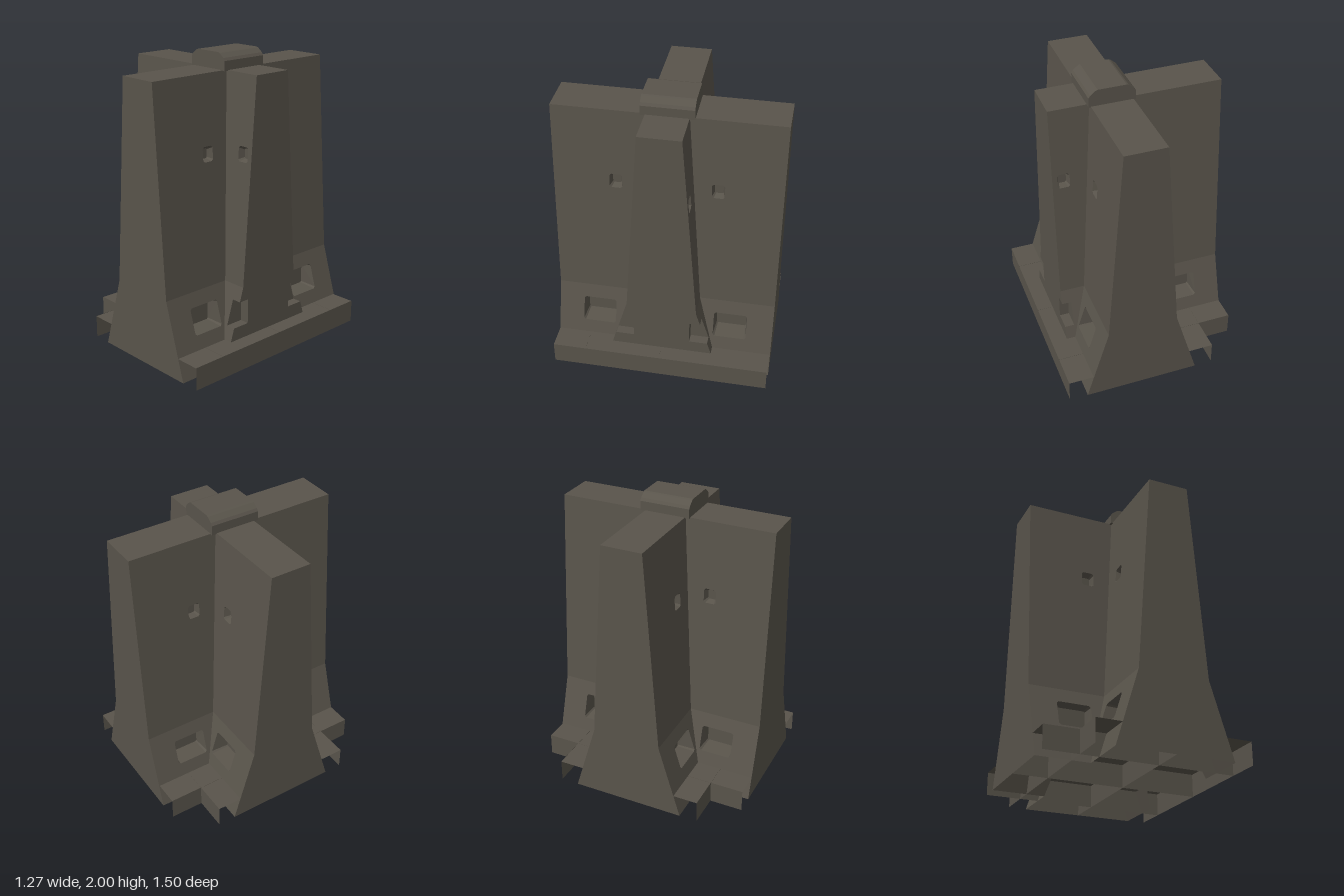
import * as THREE from 'three';

const TOP = 1.89, KNEE = 0.51, PLATE = 0.155, CX = 0.115;

// half thickness of a wall at height y: flared foot, then a slim taper
const half = (y) => (y < KNEE
  ? THREE.MathUtils.mapLinear(y, 0, KNEE, 0.395, 0.24)
  : THREE.MathUtils.mapLinear(y, KNEE, TOP, 0.24, 0.14));

// rectangle with clipped corners
function octagon(cx, cy, w, h, c) {
  return [[-w, -h + c], [-w + c, -h], [w - c, -h], [w, -h + c],
    [w, h - c], [w - c, h], [-w + c, h], [-w, h - c]].map(([x, y]) => [cx + x, cy + y]);
}

const vecs = (pts) => pts.map(([x, y]) => new THREE.Vector2(x, y));

// flat outline in (u, y), pushed out to depth(y)
function sheet(pts, depth, holes = []) {
  const shape = new THREE.Shape(vecs(pts));
  holes.forEach((h) => shape.holes.push(new THREE.Path(vecs(h))));
  const geo = new THREE.ShapeGeometry(shape);
  const p = geo.attributes.position;
  for (let i = 0; i < p.count; i++) p.setZ(i, depth(p.getY(i)));
  geo.computeVertexNormals();
  return geo;
}

// band of quads between two matching outlines
function band(outer, inner, depth, closed) {
  const pos = [];
  const n = outer.length;
  for (let i = 0; i < (closed ? n : n - 1); i++) {
    const j = (i + 1) % n;
    const a = [...outer[i], half(outer[i][1])], b = [...outer[j], half(outer[j][1])];
    const c = [...inner[j], depth], d = [...inner[i], depth];
    pos.push(...a, ...b, ...c, ...a, ...c, ...d);
  }
  const geo = new THREE.BufferGeometry();
  geo.setAttribute('position', new THREE.Float32BufferAttribute(pos, 3));
  geo.computeVertexNormals();
  return geo;
}

export function createModel() {
  const model = new THREE.Group();
  model.name = 'crossBarrier';
  const concrete = new THREE.MeshStandardMaterial({ color: 0x59544b, side: THREE.DoubleSide });
  concrete.name = 'dark concrete';
  const add = (parent, geo, name) => {
    const mesh = new THREE.Mesh(geo, concrete);
    mesh.name = name;
    parent.add(mesh);
    return mesh;
  };

  // recesses in every wall flank
  const slotOuter = octagon(0.335, 1.38, 0.042, 0.05, 0.012);
  const slotInner = octagon(0.335, 1.375, 0.028, 0.033, 0.008);
  const pocketOuter = octagon(0.46, 0.33, 0.115, 0.086, 0.012);
  const pocketInner = octagon(0.46, 0.33, 0.103, 0.074, 0.008);
  const SLOT_D = 0.135, POCKET_D = 0.195;

  function makeArm(length, angle, short) {
    const arm = new THREE.Group();
    arm.name = short ? 'shortWall' : 'longWall';
    const y0 = short ? PLATE : 0;
    const notch = [[length, 0.245], [0.345, 0.245], [0.345, 0.415], [length, 0.415]];
    const foot = [[half(y0), y0], [length, y0], ...(short ? notch : []),
      [length, KNEE], [half(KNEE), KNEE]];
    const upper = [[half(KNEE), KNEE], [length, KNEE], [length, TOP], [half(TOP), TOP]];

    for (const side of [1, -1]) {
      const flank = new THREE.Group();
      flank.name = 'flank';
      flank.scale.z = side;
      add(flank, sheet(foot, half, short ? [] : [pocketOuter]), 'flaredFoot');
      add(flank, sheet(upper, half, [slotOuter]), 'upperFlank');
      add(flank, band(slotOuter, slotInner, SLOT_D, true), 'slotWalls');
      add(flank, sheet(slotInner, () => SLOT_D), 'slotFloor');
      if (short) {
        add(flank, band(notch, notch, POCKET_D, false), 'pocketWalls');
        add(flank, sheet(notch, () => POCKET_D), 'pocketFloor');
      } else {
        add(flank, band(pocketOuter, pocketInner, POCKET_D, true), 'pocketWalls');
        add(flank, sheet(pocketInner, () => POCKET_D), 'pocketFloor');
      }
      arm.add(flank);
    }

    // end face, notched where the short wall cuts through its pockets
    const edge = [[half(y0), y0]];
    if (short) edge.push([half(0.245), 0.245], [POCKET_D, 0.245], [POCKET_D, 0.415], [half(0.415), 0.415]);
    edge.push([half(KNEE), KNEE], [half(TOP), TOP]);
    const mirrored = edge.map(([x, y]) => [-x, y]).reverse();
    const end = add(arm, sheet([...edge, ...mirrored], () => 0), 'endFace');
    end.rotation.y = Math.PI / 2;
    end.position.x = length;

    // top strip, starting where the walls cross
    const start = half(TOP) - 0.005;
    const strip = add(arm, new THREE.PlaneGeometry(length - start, 2 * half(TOP)), 'topFace');
    strip.rotation.x = -Math.PI / 2;
    strip.position.set((length + start) / 2, TOP, 0);

    arm.position.x = CX;
    arm.rotation.y = angle;
    model.add(arm);
  }
  makeArm(0.41, 0, true);
  makeArm(0.755, Math.PI / 2, false);
  makeArm(0.755, Math.PI, false);
  makeArm(0.75, -Math.PI / 2, false);

  // lifting cap with clipped shoulders
  const capSide = [[0.155, 1.885], [0.155, 1.95], [0.143, 1.968], [0.108, 1.995], [0.095, 2]];
  const capPts = [...capSide, ...capSide.map(([x, y]) => [-x, y]).reverse()];
  const cap = add(model, new THREE.ExtrudeGeometry(new THREE.Shape(vecs(capPts)),
    { depth: 0.345, bevelEnabled: false }), 'topCap');
  cap.position.set(CX, 0, -0.175);

  // thin base plate
  const plan = [[-0.405, -0.75], [0.635, -0.75], [0.635, 0.75], [-0.405, 0.75],
    [-0.405, 0.52], [-0.64, 0.52], [-0.64, -0.52], [-0.405, -0.52]];
  const plate = add(model, new THREE.ShapeGeometry(new THREE.Shape(vecs(plan))), 'basePlate');
  plate.rotation.x = -Math.PI / 2;
  plate.position.y = PLATE - 0.002;

  // crossing ribs below the plate
  for (const x of [-0.405, CX, 0.635]) {
    const rib = add(model, new THREE.PlaneGeometry(1.5, PLATE), 'lengthRib');
    rib.rotation.y = Math.PI / 2;
    rib.position.set(x, PLATE / 2, 0);
  }
  for (const z of [-0.52, 0, 0.52]) {
    const rib = add(model, new THREE.PlaneGeometry(1.275, PLATE), 'crossRib');
    rib.position.set(-0.0025, PLATE / 2, z);
  }
  return model;
}
